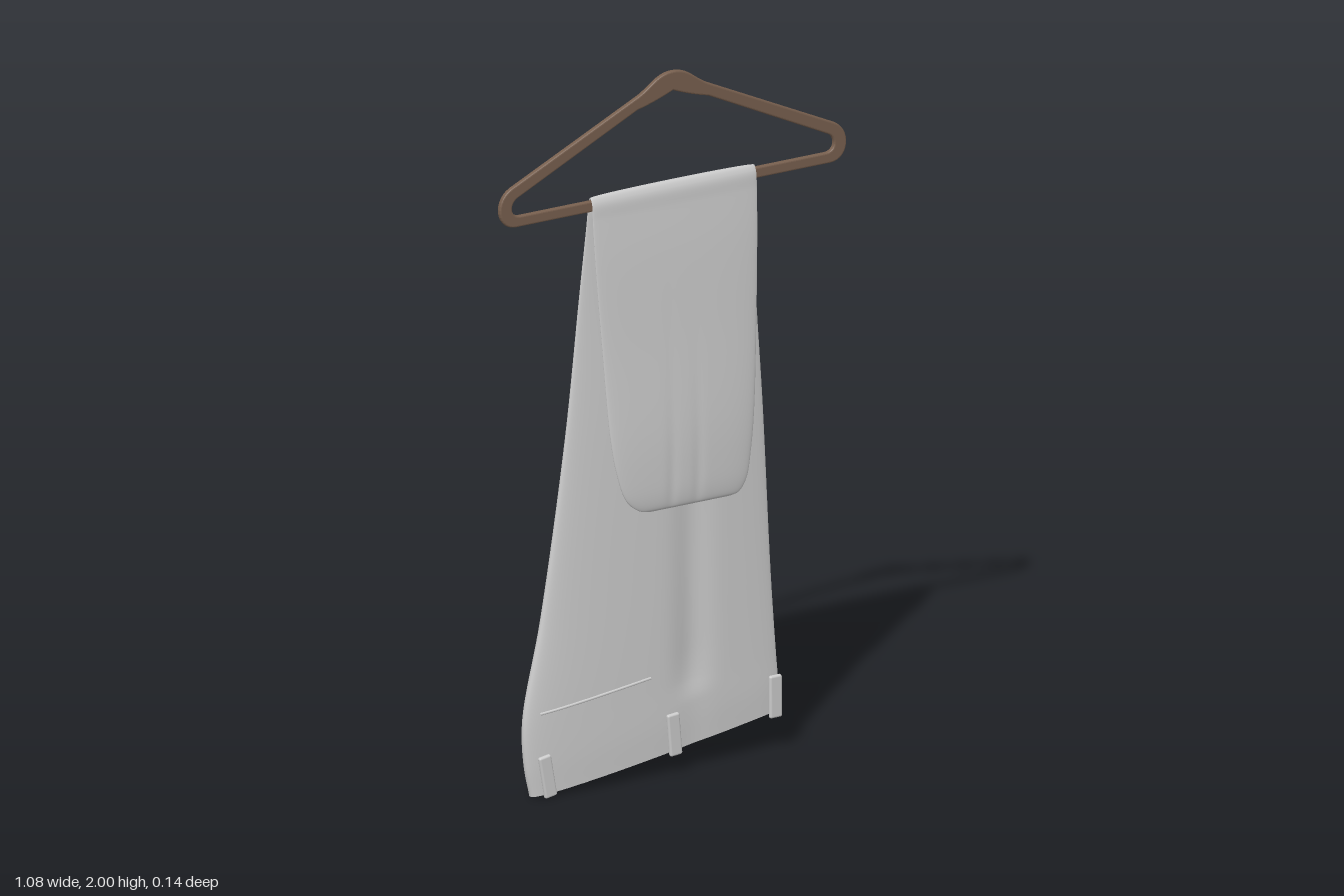
import * as THREE from 'three';
import { RoundedBoxGeometry } from 'three/addons/geometries/RoundedBoxGeometry.js';

const smooth = THREE.MathUtils.smoothstep;
const bump = (x, at, width) => Math.exp(-(((x - at) / width) ** 2));

// Cloth stations from leg hems, over the bar, down to the waist:
// left x, left y, right x, right y, z of the middle, half thickness
const stations = [
  [-0.09, 0.768, 0.16, 0.768, 0.06, 0],
  [-0.125, 0.776, 0.185, 0.776, 0.06, 0.008],
  [-0.165, 0.81, 0.208, 0.81, 0.06, 0.014],
  [-0.195, 0.89, 0.222, 0.89, 0.06, 0.017],
  [-0.215, 1.0, 0.233, 1.0, 0.058, 0.018],
  [-0.235, 1.25, 0.245, 1.25, 0.05, 0.013],
  [-0.252, 1.5, 0.253, 1.5, 0.042, 0.009],
  [-0.256, 1.62, 0.256, 1.62, 0.035, 0.007],
  [-0.256, 1.668, 0.256, 1.668, 0.031, 0.007],
  [-0.256, 1.683, 0.256, 1.683, 0.021, 0.007],
  [-0.256, 1.668, 0.256, 1.668, 0.011, 0.007],
  [-0.258, 1.62, 0.26, 1.62, 0.008, 0.009],
  [-0.28, 1.4, 0.272, 1.4, 0.003, 0.016],
  [-0.325, 1.0, 0.3, 1.0, 0.002, 0.027],
  [-0.4, 0.5, 0.328, 0.5, -0.003, 0.038],
  [-0.455, 0.22, 0.345, 0.28, -0.007, 0.044],
  [-0.45, 0.09, 0.352, 0.19, -0.008, 0.046],
  [-0.432, 0.0, 0.352, 0.112, -0.008, 0.044],
];
const LAST = stations.length - 1;
const leftCurve = new THREE.CatmullRomCurve3(stations.map(s => new THREE.Vector3(s[0], s[1], s[4])));
const rightCurve = new THREE.CatmullRomCurve3(stations.map(s => new THREE.Vector3(s[2], s[3], s[5])));

// Point on the cloth at station s and angle around the flattened section
function clothPoint(s, angle) {
  const u = s / LAST;
  const L = leftCurve.getPoint(u), R = rightCurve.getPoint(u);
  const u0 = Math.max(u - 0.002, 0), u1 = Math.min(u + 0.002, 1);
  const a = leftCurve.getPoint(u0), b = leftCurve.getPoint(u1);
  const dy = b.y - a.y, dz = b.z - a.z, len = Math.hypot(dy, dz) || 1;
  const body = smooth(s, 11, 15), flap = 1 - smooth(s, 2, 6);
  const c = Math.cos(angle), sn = Math.sin(angle);

  let x = THREE.MathUtils.lerp(L.x, R.x, (c + 1) / 2);
  const y = THREE.MathUtils.lerp(L.y, R.y, (c + 1) / 2);
  // fuller on the left side of the body, with a tucked-in side fold
  const power = 0.8 - 0.5 * body * smooth(c, -0.2, 1);
  let out = Math.max(R.z, 0) * Math.sign(sn) * Math.abs(sn) ** power;
  if (c > 0) x -= 0.06 * body * bump(sn, 0, 0.16);
  // groove between the legs and wrinkles near the hems
  const groove = smooth(s, 11.5, 13.5) * (1 - 0.8 * smooth(s, 14.6, 15.6));
  out *= 1 - 0.38 * groove * bump(x, 0.06, 0.05);
  out *= 1 - flap * (0.2 * bump(x, -0.03, 0.015) + 0.2 * bump(x, 0.05, 0.015));
  return new THREE.Vector3(x, y - (dz / len) * out, L.z + (dy / len) * out - 0.02 * x * body);
}

// side +1 is the model's front of the hanging body, -1 its back
const onBody = (s, c, side) => clothPoint(s, -side * Math.acos(c));

function clothGeometry(rows = 136, cols = 128) {
  const pos = [], index = [];
  for (let i = 0; i <= rows; i++) {
    for (let j = 0; j < cols; j++) {
      pos.push(...clothPoint((i / rows) * LAST, (j / cols) * Math.PI * 2).toArray());
      if (i === rows) continue;
      const k = (j + 1) % cols;
      const a = i * cols + j, b = a + cols, d = i * cols + k, e = d + cols;
      index.push(a, b, d, b, e, d);
    }
  }
  const g = new THREE.BufferGeometry();
  g.setAttribute('position', new THREE.Float32BufferAttribute(pos, 3));
  g.setIndex(index);
  g.computeVertexNormals();
  return g;
}

// Flat triangular hanger with rounded corners
function hangerGeometry() {
  const outline = (path, start, right) => {
    path.moveTo(0, start);
    right(path, 1);
    return path;
  };
  const shape = outline(new THREE.Shape(), 1.645, p => {
    p.lineTo(0.49, 1.645);
    p.bezierCurveTo(0.55, 1.645, 0.56, 1.73, 0.505, 1.758);
    p.lineTo(0.11, 1.946);
    p.bezierCurveTo(0.07, 1.965, 0.05, 2.0, 0, 2.0);
    p.bezierCurveTo(-0.05, 2.0, -0.07, 1.965, -0.11, 1.946);
    p.lineTo(-0.505, 1.758);
    p.bezierCurveTo(-0.56, 1.73, -0.55, 1.645, -0.49, 1.645);
    p.lineTo(0, 1.645);
  });
  shape.holes.push(outline(new THREE.Path(), 1.676, p => {
    p.lineTo(-0.475, 1.676);
    p.bezierCurveTo(-0.51, 1.676, -0.51, 1.715, -0.485, 1.728);
    p.lineTo(-0.11, 1.909);
    p.quadraticCurveTo(-0.06, 1.92, 0, 1.945);
    p.quadraticCurveTo(0.06, 1.92, 0.11, 1.909);
    p.lineTo(0.485, 1.728);
    p.bezierCurveTo(0.51, 1.715, 0.51, 1.676, 0.475, 1.676);
    p.lineTo(0, 1.676);
  }));
  const g = new THREE.ExtrudeGeometry(shape, {
    depth: 0.006, bevelThickness: 0.005, bevelSize: 0.005, bevelOffset: -0.005,
    bevelSegments: 3, curveSegments: 14,
  });
  return g.translate(0, 0, 0.017);
}

export function createModel() {
  const cloth = new THREE.MeshStandardMaterial({ color: 0xcbcbcb, side: THREE.DoubleSide });
  cloth.name = 'light grey cloth';
  const wood = new THREE.MeshStandardMaterial({ color: 0x775f4e });
  wood.name = 'brown wood';

  const model = new THREE.Group();
  model.name = 'trousersOnHanger';
  const add = (name, geometry, material) => {
    const mesh = new THREE.Mesh(geometry, material);
    mesh.name = name;
    model.add(mesh);
    return mesh;
  };

  add('hanger', hangerGeometry(), wood);
  add('trousers', clothGeometry(), cloth);

  const up = new THREE.Vector3(0, 1, 0);
  for (const side of [1, -1]) {
    const face = side > 0 ? 'front' : 'back';
    // belt loops along the waist
    [-0.88, 0.1, 0.92].forEach((c, i) => {
      const low = onBody(LAST, c, side), high = onBody(LAST - 1.15, c, side);
      const loop = add(`${face}BeltLoop${i + 1}`, new RoundedBoxGeometry(0.038, 0.122, 0.014, 3, 0.006), cloth);
      loop.position.copy(low).lerp(high, 0.5);
      loop.position.z += side * 0.005;
      loop.quaternion.setFromUnitVectors(up, high.sub(low).normalize());
    });
    // slanted pocket welt
    const points = [];
    for (let i = 0; i <= 8; i++) {
      const t = i / 8;
      points.push(onBody(14.93 - 0.1 * t, -0.9 + 0.84 * t, side));
    }
    add(`${face}PocketWelt`, new THREE.TubeGeometry(new THREE.CatmullRomCurve3(points), 32, 0.004, 8), cloth);
  }
  return model;
}
